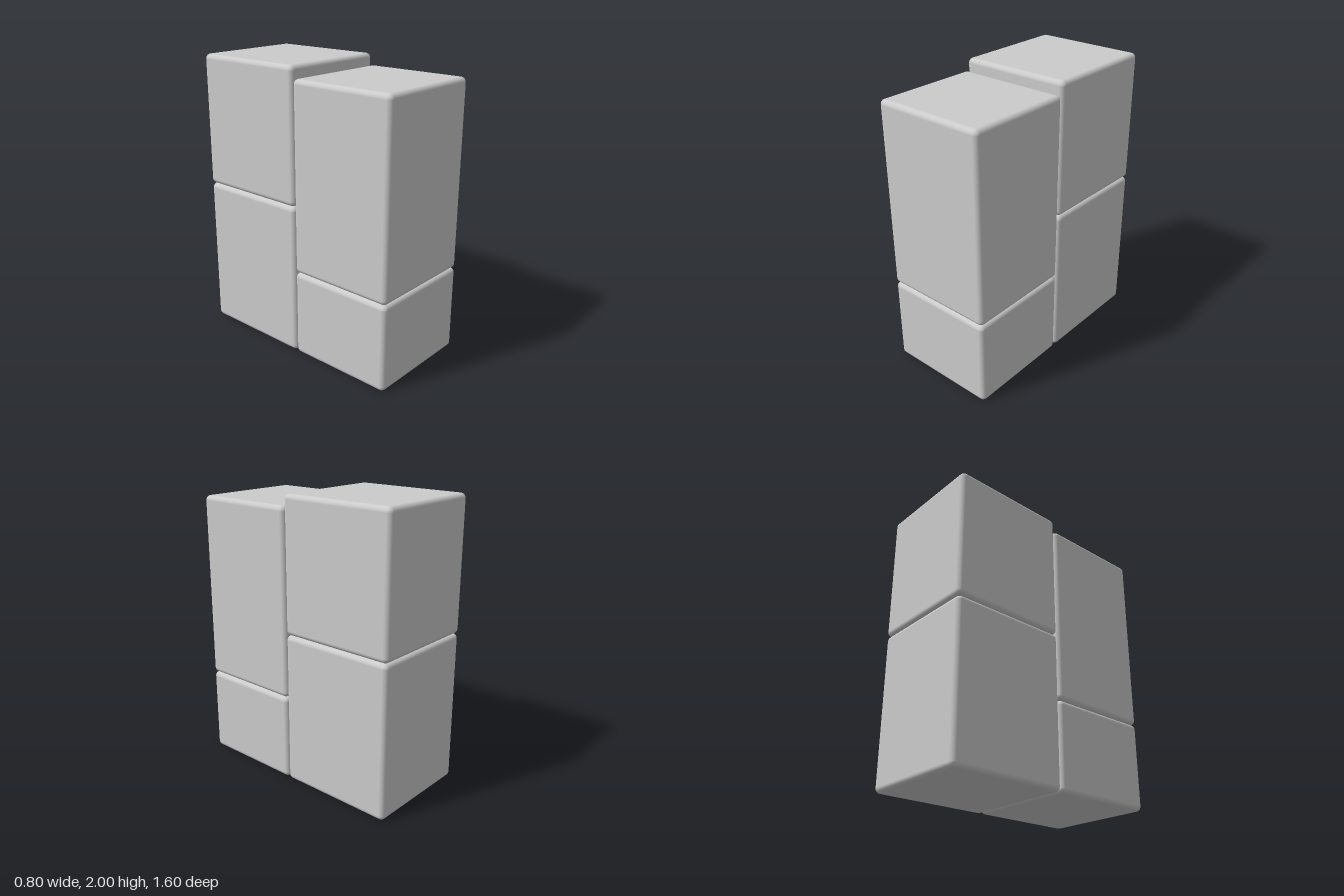
import * as THREE from 'three';
import { RoundedBoxGeometry } from 'three/addons/geometries/RoundedBoxGeometry.js';

const WIDTH = 0.8;
const RADIUS = 0.035;

export function createModel() {
  const group = new THREE.Group();
  group.name = 'stackedBlocks';
  const material = new THREE.MeshStandardMaterial({ color: 0xcccccc });

  // Each block spans y0..y1 in height and z0..z1 in depth
  const addBlock = (name, y0, y1, z0, z1) => {
    const geometry = new RoundedBoxGeometry(WIDTH, y1 - y0, z1 - z0, 4, RADIUS);
    const block = new THREE.Mesh(geometry, material);
    block.name = name;
    block.position.set(0, (y0 + y1) / 2, (z0 + z1) / 2);
    group.add(block);
  };

  // Front column: short block below, tall block above
  addBlock('frontLowerBlock', 0, 0.612, 0.037, 0.802);
  addBlock('frontUpperBlock', 0.612, 1.92, 0.037, 0.802);

  // Back column: two blocks of similar height
  addBlock('backLowerBlock', 0, 1.072, -0.8, 0.035);
  addBlock('backUpperBlock', 1.072, 2, -0.802, 0.035);

  return group;
}
